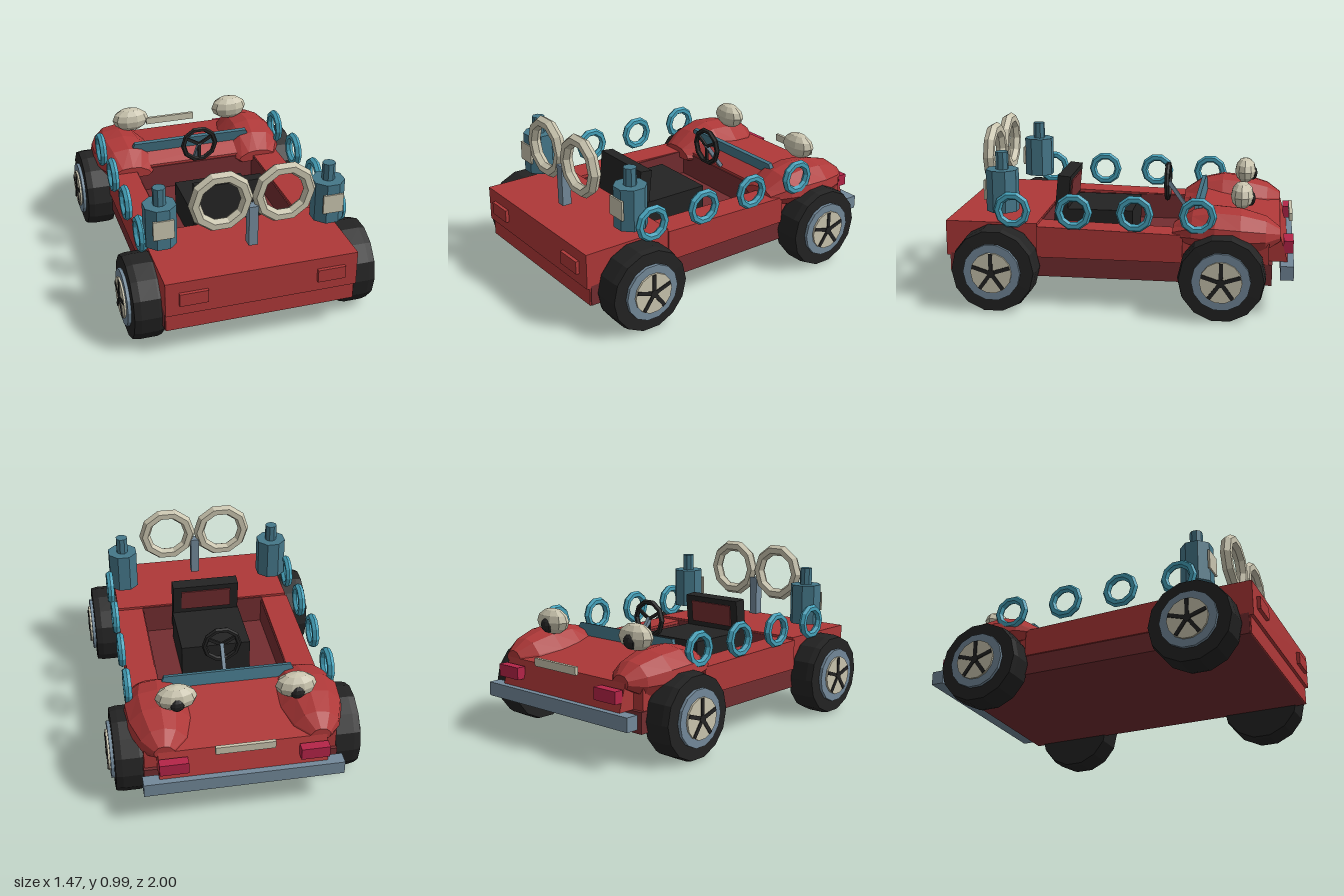
import * as THREE from 'three';

const mat = (name, color) => {
  const m = new THREE.MeshStandardMaterial({ color });
  m.name = name;
  return m;
};

// faceted normals for the low-poly look
function flat(geo) {
  const g = geo.index ? geo.toNonIndexed() : geo;
  g.computeVertexNormals();
  return g;
}

// side profile of [z, y] points, extruded across x0..x1
function profile(points, x0, x1) {
  const shape = new THREE.Shape(points.map(([z, y]) => new THREE.Vector2(z, y)));
  const g = new THREE.ExtrudeGeometry(shape, { depth: x1 - x0, bevelEnabled: false });
  return g.rotateY(-Math.PI / 2).translate(x1, 0, 0);
}

// closed loft through rings ordered by rising z, each counter-clockwise from +z
function loft(rings) {
  const n = rings[0].length, idx = [], last = (rings.length - 1) * n;
  for (let i = 0; i < rings.length - 1; i++) for (let j = 0; j < n; j++) {
    const a = i * n + j, b = i * n + (j + 1) % n;
    idx.push(a, b, b + n, a, b + n, a + n);
  }
  for (let j = 1; j < n - 1; j++) idx.push(0, j + 1, j, last, last + j, last + j + 1);
  const g = new THREE.BufferGeometry();
  g.setAttribute('position', new THREE.Float32BufferAttribute(rings.flat(2), 3));
  g.setIndex(idx);
  return g;
}

export function createModel() {
  const red = mat('body red', 0xae3838);
  const darkRed = mat('chassis dark red', 0x732d30);
  const black = mat('rubber black', 0x232323);
  const steel = mat('steel grey', 0x73899a);
  const cream = mat('cream', 0xc9c4ae);
  const teal = mat('dark teal', 0x457789);
  const cyan = mat('bright teal', 0x45a2bb);
  const crimson = mat('lamp crimson', 0xb52448);

  const model = new THREE.Group();
  model.name = 'openBuggy';
  const add = (name, geo, material, parent = model) => {
    const m = new THREE.Mesh(flat(geo), material);
    m.name = name;
    parent.add(m);
    return m;
  };
  // box given by its limits
  const box = (name, x0, x1, y0, y1, z0, z1, material, parent) => {
    const g = new THREE.BoxGeometry(x1 - x0, y1 - y0, z1 - z0);
    g.translate((x0 + x1) / 2, (y0 + y1) / 2, (z0 + z1) / 2);
    return add(name, g, material, parent);
  };

  // chassis and main body
  box('chassis', -0.545, 0.545, 0.18, 0.30, -0.88, 0.955, darkRed);
  box('lowerEndPanel', -0.54, 0.54, 0.18, 0.30, 0.955, 0.962, red);
  box('deck', -0.545, 0.545, 0.285, 0.49, 0.45, 0.98, red);
  box('underHood', -0.54, 0.54, 0.29, 0.42, -0.86, -0.37, red);
  add('hood', profile([[-0.36, 0.29], [-0.965, 0.30], [-0.92, 0.45], [-0.45, 0.53], [-0.36, 0.47]], -0.47, 0.47), red);
  box('cockpitFrontWall', -0.39, 0.39, 0.30, 0.455, -0.36, -0.353, darkRed);
  box('cockpitBackWall', -0.39, 0.39, 0.30, 0.48, 0.443, 0.45, darkRed);

  // mirrored body parts; fender rows are z, centre x, half width, bottom, top
  const fenderRows = [
    [-0.92, 0.43, 0.06, 0.42, 0.49], [-0.84, 0.42, 0.14, 0.38, 0.55],
    [-0.70, 0.42, 0.19, 0.37, 0.59], [-0.56, 0.42, 0.20, 0.38, 0.60],
    [-0.43, 0.41, 0.18, 0.40, 0.57], [-0.32, 0.41, 0.12, 0.42, 0.49],
  ];
  const dome = [[0.8, 0], [1, 0.3], [0.94, 0.6], [0.55, 0.92], [0, 1],
    [-0.45, 0.9], [-0.85, 0.55], [-1, 0.25], [-0.8, 0]];
  for (const s of [1, -1]) {
    const side = s > 0 ? 'left' : 'right';
    const span = (a, b) => (s > 0 ? [a, b] : [-b, -a]);

    add(side + 'SideWall', profile([[-0.38, 0.295], [-0.38, 0.455], [0.45, 0.475], [0.45, 0.295]], ...span(0.39, 0.555)), red);
    box(side + 'CockpitLining', ...span(0.383, 0.39), 0.30, 0.455, -0.36, 0.45, darkRed);

    const rings = fenderRows.map(([z, xc, w, y0, y1]) => {
      const ring = dome.map(([u, v]) => [s * (xc + u * w), y0 + v * (y1 - y0), z]);
      return s > 0 ? ring : ring.reverse();
    });
    add(side + 'Fender', loft(rings), red);

    // domed lamp with dark pupil
    const lamp = new THREE.SphereGeometry(1, 10, 6).scale(0.118, 0.077, 0.066);
    add(side + 'DomeLamp', lamp.translate(s * 0.335, 0.645, -0.70), cream);
    const pupil = new THREE.SphereGeometry(0.045, 10, 6).scale(1, 1, 0.75);
    add(side + 'Pupil', pupil.translate(s * 0.335, 0.627, -0.743), black);

    // small lamps and end panels
    box(side + 'RedLamp', ...span(0.31, 0.47), 0.35, 0.42, -0.995, -0.94, crimson);
    box(side + 'EndPanel', ...span(0.31, 0.47), 0.35, 0.425, 0.98, 1.0, red);

    // canister with nozzle and label
    const canister = new THREE.CylinderGeometry(0.094, 0.094, 0.24, 8).rotateY(Math.PI / 8);
    add(side + 'Canister', canister.translate(s * 0.485, 0.67, 0.655), teal);
    const nozzle = new THREE.CylinderGeometry(0.037, 0.037, 0.1, 8).rotateY(Math.PI / 8);
    add(side + 'Nozzle', nozzle.translate(s * 0.485, 0.84, 0.655), teal);
    box(side + 'CanisterLabel', ...span(0.426, 0.544), 0.62, 0.732, 0.738, 0.75, cream);

    // big upright hoop
    const hoop = new THREE.TorusGeometry(0.147, 0.035, 6, 10);
    add(side + 'Hoop', hoop.translate(s * 0.178, 0.82, 0.775), cream);

    // row of side rings
    for (const z of [0.58, 0.23, -0.115, -0.465]) {
      const ring = new THREE.TorusGeometry(0.084, 0.023, 6, 10).rotateY(Math.PI / 2);
      add(side + 'Ring', ring.translate(s * 0.58, 0.575, z), cyan);
    }

    // wheels, built with the axle along y and turned outward
    for (const [place, z] of [['A', 0.675], ['B', -0.605]]) {
      const wheel = new THREE.Group();
      wheel.name = side + 'Wheel' + place;
      const disc = (r, y0, y1, n = 14) =>
        new THREE.CylinderGeometry(r, r, y1 - y0, n).translate(0, (y0 + y1) / 2, 0);
      const tyre = [[0, 0], [0.235, 0], [0.243, 0.03], [0.243, 0.13], [0.235, 0.168], [0.16, 0.17], [0, 0.17]];
      add('tyre', new THREE.LatheGeometry(tyre.map(p => new THREE.Vector2(...p)), 14), black, wheel);
      add('rim', disc(0.163, 0.16, 0.188), steel, wheel);
      add('hubPlate', disc(0.117, 0.18, 0.199), cream, wheel);
      add('hubCap', disc(0.024, 0.18, 0.206, 8), black, wheel);
      for (let k = 0; k < 5; k++) {
        const spoke = new THREE.BoxGeometry(0.112, 0.026, 0.022).translate(0.056, 0.191, 0);
        add('spoke', spoke.rotateY(k * Math.PI * 2 / 5), black, wheel);
      }
      // spokes start from straight up on both sides
      wheel.rotation.z = -s * Math.PI / 2;
      if (s > 0) wheel.children.forEach(c => { c.rotation.y = Math.PI; });
      wheel.position.set(s * 0.528, 0.243, z);
      model.add(wheel);
    }
  }

  // centre post between the hoops
  box('hoopPost', -0.026, 0.026, 0.53, 0.77, 0.75, 0.805, steel);

  // bumper and plate
  box('bumper', -0.56, 0.56, 0.22, 0.30, -1.0, -0.925, steel);
  box('blankPlate', -0.165, 0.165, 0.455, 0.50, -0.99, -0.97, cream);

  // low wind deflector, narrowing upward
  const deflector = new THREE.Shape([[-0.405, 0], [0.405, 0], [0.37, 0.085], [-0.37, 0.085]].map(p => new THREE.Vector2(...p)));
  const board = add('windDeflector', new THREE.ExtrudeGeometry(deflector, { depth: 0.025, bevelEnabled: false }), teal);
  board.position.set(0, 0.515, -0.47);
  board.rotation.x = 0.2;

  // seat
  box('seatCushion', -0.21, 0.21, 0.30, 0.495, -0.055, 0.35, black);
  const back = new THREE.Group();
  back.name = 'seatBack';
  back.position.set(0, 0.45, 0.378);
  back.rotation.x = -0.1;
  box('backrest', -0.205, 0.205, -0.1, 0.243, -0.038, 0.038, black, back);
  box('backrestPanel', -0.155, 0.155, 0.08, 0.21, -0.046, -0.038, darkRed, back);
  model.add(back);

  // steering wheel and column
  add('steeringRim', new THREE.TorusGeometry(0.103, 0.016, 6, 10).translate(0, 0.635, -0.245), black);
  for (let k = 0; k < 3; k++) {
    const spoke = new THREE.BoxGeometry(0.018, 0.1, 0.014).translate(0, -0.05, 0).rotateZ(k * Math.PI * 2 / 3);
    add('steeringSpoke', spoke.translate(0, 0.635, -0.245), black);
  }
  const column = add('steeringColumn', new THREE.BoxGeometry(0.022, 0.2, 0.022), steel);
  column.position.set(0, 0.56, -0.3);
  column.rotation.x = 0.62;

  return model;
}
